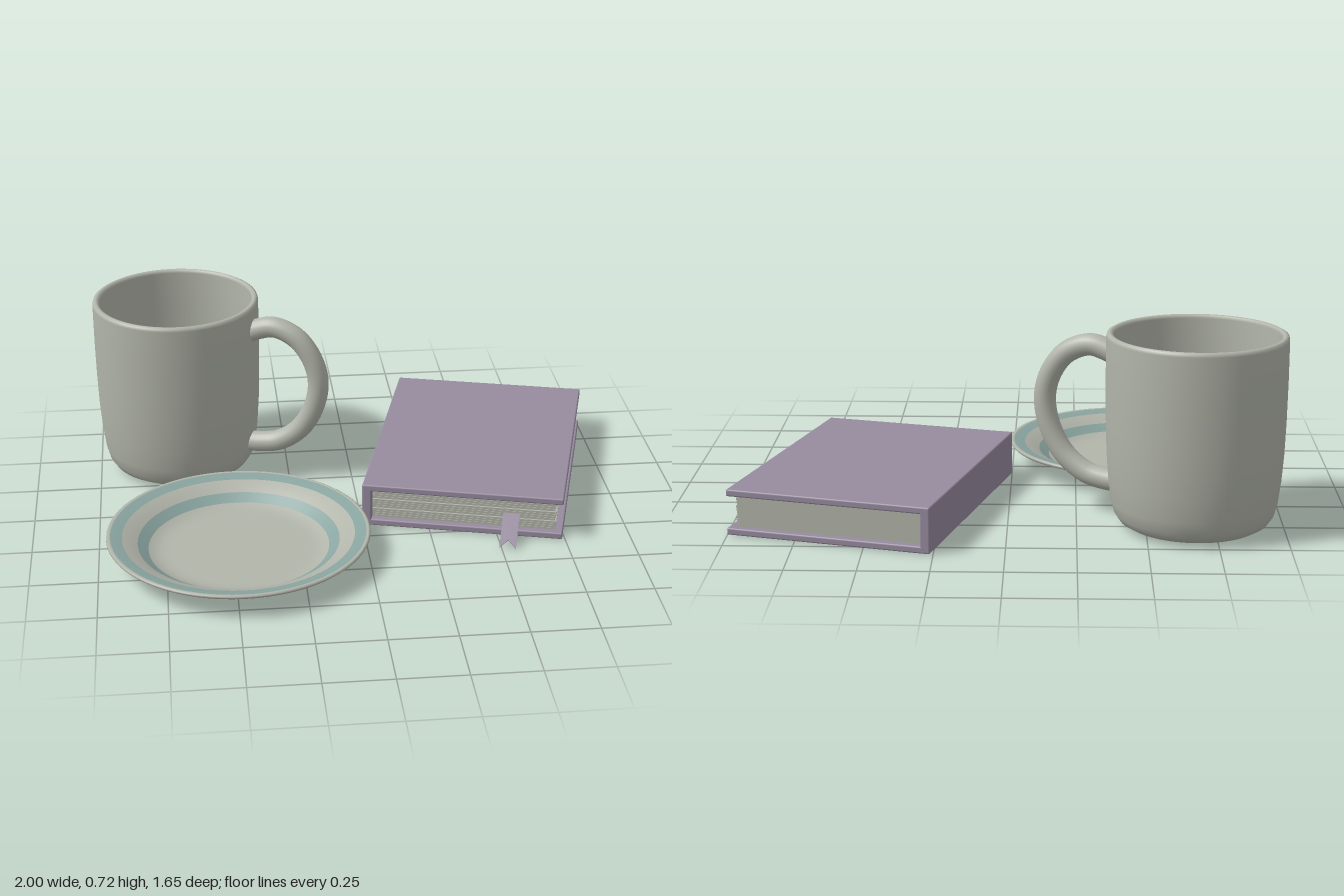
import * as THREE from 'three';
import { RoundedBoxGeometry } from 'three/addons/geometries/RoundedBoxGeometry.js';

export function createModel() {
  const mat = (name, color, side = THREE.FrontSide) => {
    const m = new THREE.MeshStandardMaterial({ color, side });
    m.name = name;
    return m;
  };
  const ceramic = mat('grey ceramic', 0xb2b5aa);
  const glaze = mat('teal glaze', 0x8aa5a1);
  const cloth = mat('mauve cloth', 0x978b9f);
  const paper = mat('paper', 0xb0b3a8);
  const ribbonMat = mat('mauve ribbon', 0x978b9f, THREE.DoubleSide);

  const model = new THREE.Group();
  model.name = 'mugPlateAndBook';
  const group = (name, x, z, angle = 0) => {
    const g = new THREE.Group();
    g.name = name;
    g.position.set(x, 0, z);
    g.rotation.y = THREE.MathUtils.degToRad(angle);
    model.add(g);
    return g;
  };
  const add = (parent, name, geometry, material, x = 0, y = 0, z = 0) => {
    const m = new THREE.Mesh(geometry, material);
    m.name = name;
    m.position.set(x, y, z);
    parent.add(m);
    return m;
  };
  const lathe = (pts) => new THREE.LatheGeometry(pts.map(([r, y]) => new THREE.Vector2(r, y)), 72);

  // Mug, with its handle along local +x
  const mug = group('mug', -0.675, -0.47, -22);
  add(mug, 'mugBody', lathe([
    [0, 0.006], [0.21, 0.006], [0.245, 0.012], [0.272, 0.028], [0.29, 0.055], [0.302, 0.1], [0.312, 0.18],
    [0.319, 0.28], [0.323, 0.4], [0.325, 0.55], [0.325, 0.7], [0.322, 0.711], [0.313, 0.716],
    [0.303, 0.713], [0.298, 0.703], [0.297, 0.55], [0.295, 0.4], [0.291, 0.28], [0.285, 0.18],
    [0.275, 0.1], [0.26, 0.065], [0.235, 0.045], [0.2, 0.038], [0, 0.038],
  ]), ceramic);

  const handlePath = new THREE.CatmullRomCurve3([
    [0.285, 0.595], [0.34, 0.62], [0.41, 0.635], [0.5, 0.598], [0.563, 0.515], [0.586, 0.42],
    [0.565, 0.31], [0.505, 0.21], [0.42, 0.15], [0.35, 0.134], [0.285, 0.13],
  ].map(([x, y]) => new THREE.Vector3(x, y, 0)));
  add(mug, 'mugHandle', new THREE.TubeGeometry(handlePath, 64, 0.041, 20), ceramic);
  [0, 1].forEach((t) => {
    const p = handlePath.getPoint(t);
    add(mug, 'handleEnd', new THREE.SphereGeometry(0.041, 20, 12), ceramic, p.x, p.y).scale.x = 0.5;
  });

  // Plate: underside and rim, then rings of the upper face
  const plate = group('plate', -0.48, 0.33);
  add(plate, 'plateUnderside', lathe([
    [0, 0.004], [0.27, 0.004], [0.3, 0.01], [0.335, 0.026], [0.37, 0.047], [0.41, 0.064],
    [0.45, 0.075], [0.484, 0.083], [0.49, 0.089], [0.489, 0.095], [0.483, 0.098], [0.475, 0.096],
  ]), ceramic);
  add(plate, 'outerBand', lathe([[0.475, 0.096], [0.453, 0.092], [0.432, 0.087]]), glaze);
  add(plate, 'plateSlope', lathe([[0.432, 0.087], [0.415, 0.08], [0.395, 0.071], [0.375, 0.06]]), ceramic);
  add(plate, 'innerBand', lathe([[0.375, 0.06], [0.355, 0.047], [0.336, 0.035]]), glaze);
  add(plate, 'plateWell', lathe([[0.336, 0.035], [0.315, 0.026], [0.29, 0.021], [0.26, 0.02], [0, 0.02]]), ceramic);

  // Book: spine on local -x
  const book = group('book', 0.5, -0.237, -15);
  const W = 0.766, L = 1.02, T = 0.026, H = 0.17;
  const cover = new RoundedBoxGeometry(W, T, L, 2, 0.006);
  add(book, 'backCover', cover, cloth, 0, T / 2);
  add(book, 'frontCover', cover, cloth, 0, H - T / 2);
  add(book, 'spine', new RoundedBoxGeometry(0.036, H, L, 2, 0.006), cloth, -W / 2 + 0.018, H / 2);

  // Page block with slightly uneven leaves on the front and fore edges
  const gap = H - 2 * T;
  add(book, 'pageBlock', new THREE.BoxGeometry(0.694, gap, 0.964), paper, 0.002, H / 2);
  const leaves = 12;
  for (let i = 0; i < leaves; i++) {
    const jut = 0.003 + 0.005 * ((i * 5) % 4) / 3;
    add(book, 'leaf', new THREE.BoxGeometry(0.694 + jut, gap / leaves * 0.8, 0.964 + jut), paper,
      0.002 + jut / 2, T + gap * (i + 0.5) / leaves, jut / 2);
  }

  // Swallow-tailed ribbon hanging out of the pages
  const ribbonShape = new THREE.Shape([
    [-0.031, 0], [0.031, 0], [0.031, 0.16], [0, 0.122], [-0.031, 0.16],
  ].map(([x, y]) => new THREE.Vector2(x, y)));
  const ribbon = add(book, 'ribbonBookmark', new THREE.ExtrudeGeometry(ribbonShape,
    { depth: 0.003, bevelEnabled: false }), ribbonMat, 0.187, 0.085, 0.485);
  ribbon.rotation.x = Math.PI / 2 + 0.49;

  return model;
}
